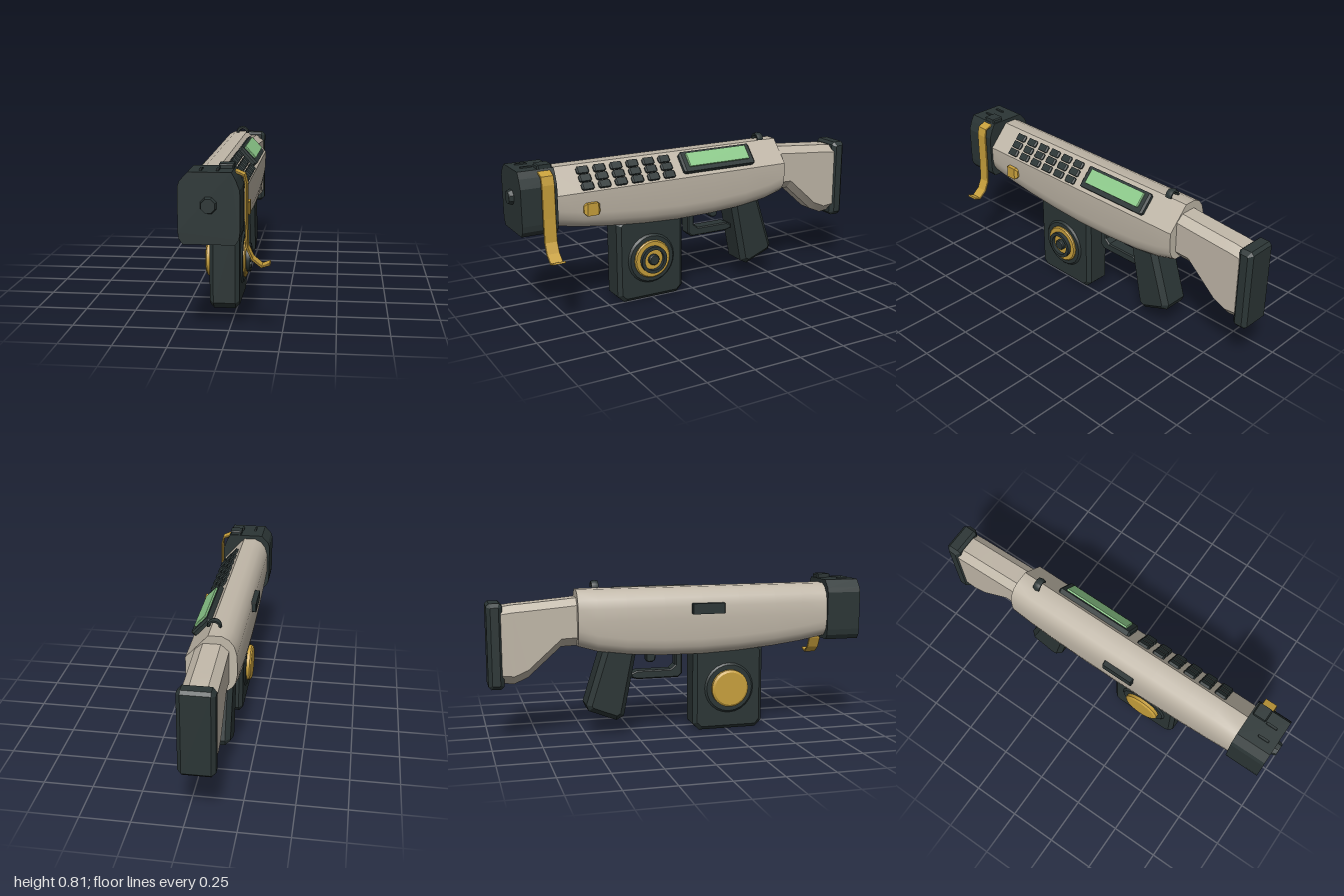
import * as THREE from 'three';
import { toCreasedNormals } from 'three/addons/utils/BufferGeometryUtils.js';

const mat = (name, color) => {
  const m = new THREE.MeshStandardMaterial({ color });
  m.name = name;
  return m;
};

const CX = -0.06; // centre plane of the body

// Outline extruded along z, with a chamfer kept inside the outline
function extrude(pts, depth, b = 0) {
  const shape = new THREE.Shape(pts.map(p => new THREE.Vector2(p[0], p[1])));
  const g = new THREE.ExtrudeGeometry(shape, {
    depth: depth - 2 * b, bevelEnabled: b > 0, bevelSize: b, bevelThickness: b,
    bevelOffset: -b, bevelSegments: 1,
  });
  return g.translate(0, 0, b);
}

// Side outline in (z, y), extruded across x from x0 to x1
const sideExtrude = (pts, x0, x1, b) =>
  extrude(pts, x1 - x0, b).rotateY(-Math.PI / 2).translate(x1, 0, 0);

const chamferBox = (w, h, d, b) =>
  extrude([[-w / 2, -h / 2], [w / 2, -h / 2], [w / 2, h / 2], [-w / 2, h / 2]], d, b).translate(0, 0, -d / 2);

// Rectangle outline with cut corners
const cutRect = (x0, y0, x1, y1, c) => [
  [x0 + c, y0], [x1 - c, y0], [x1, y0 + c], [x1, y1 - c],
  [x1 - c, y1], [x0 + c, y1], [x0, y1 - c], [x0, y0 + c],
];

// Skin over cross-sections (counter-clockwise, z ascending) with end caps
function loft(sections, crease) {
  const pos = [];
  const tri = (...v) => v.forEach(p => pos.push(...p));
  const rings = sections.map(s => s.pts.map(p => [p[0], p[1], s.z]));
  const n = rings[0].length;
  for (let k = 0; k < rings.length - 1; k++) {
    for (let i = 0; i < n; i++) {
      const j = (i + 1) % n, a = rings[k], b = rings[k + 1];
      tri(a[i], a[j], b[j]);
      tri(a[i], b[j], b[i]);
    }
  }
  const first = rings[0], last = rings[rings.length - 1];
  for (let i = 1; i < n - 1; i++) {
    tri(first[0], first[i + 1], first[i]);
    tri(last[0], last[i], last[i + 1]);
  }
  const g = new THREE.BufferGeometry();
  g.setAttribute('position', new THREE.Float32BufferAttribute(pos, 3));
  return toCreasedNormals(g, crease);
}

// Turned part whose axis points along +x
const turned = (pts, seg) => toCreasedNormals(
  new THREE.LatheGeometry(pts.map(p => new THREE.Vector2(p[0], p[1])), seg).rotateZ(-Math.PI / 2), 0.5);

export function createModel() {
  const root = new THREE.Group();
  const tan = mat('tan shell', 0xc0b7a8);
  const dark = mat('dark slate', 0x2b3535);
  const gold = mat('brass', 0xc8a03c);
  const green = mat('screen green', 0x8cc98a);
  const add = (name, geo, material, x = 0, y = 0, z = 0, parent = root) => {
    const m = new THREE.Mesh(geo, material);
    m.name = name;
    m.position.set(x, y, z);
    parent.add(m);
    return m;
  };

  // Main shell: slanted panel on its left, rounded on its right, belly sagging in the middle
  const belly = [[-0.55, 0.49], [-0.45, 0.46], [-0.3, 0.437], [-0.1, 0.425], [0.1, 0.423],
    [0.3, 0.432], [0.5, 0.449], [0.65, 0.468], [0.8, 0.495]];
  add('body', loft(belly.map(([z, y]) => ({
    z,
    pts: [[0.02, y], [0.042, y + 0.018], [0.058, y + 0.045], [0.065, y + 0.085], [0.065, 0.655],
      [-0.045, 0.775], [-0.11, 0.775], [-0.145, 0.758], [-0.17, 0.725], [-0.183, 0.68], [-0.185, 0.62],
      [-0.185, y + 0.085], [-0.178, y + 0.045], [-0.162, y + 0.018], [-0.14, y]],
  })), 0.6), tan);

  // Stock with chamfered edges
  const stock = [[-0.93, 0.7, 0.312], [-0.87, 0.708, 0.305], [-0.8, 0.713, 0.335],
    [-0.63, 0.727, 0.487], [-0.54, 0.735, 0.49]];
  add('stock', loft(stock.map(([z, t, b]) => ({
    z,
    pts: [[-0.02, b], [0.02, b + 0.045], [0.02, t - 0.035], [-0.02, t],
      [-0.105, t], [-0.145, t - 0.035], [-0.145, b + 0.045], [-0.105, b]],
  })), 0.3), tan);
  add('buttPlate', sideExtrude(cutRect(-1, 0.285, -0.92, 0.72, 0.015), -0.15, 0.027, 0.02), dark);

  // Muzzle block with octagonal nozzle
  add('muzzleBlock', extrude([[-0.175, 0.475], [0.055, 0.475], [0.072, 0.5], [0.076, 0.53], [0.076, 0.715],
    [0.058, 0.762], [0.04, 0.795], [-0.15, 0.795], [-0.187, 0.755], [-0.196, 0.73], [-0.196, 0.53],
    [-0.192, 0.5]], 0.185).translate(0, 0, 0.793), dark);
  const nozzle = new THREE.CylinderGeometry(0.033, 0.04, 0.024, 8).rotateY(Math.PI / 8).rotateX(Math.PI / 2);
  add('nozzle', toCreasedNormals(nozzle, 0.3), dark, CX, 0.65, 0.988);
  const rim = new THREE.TorusGeometry(0.03, 0.005, 4, 8).rotateZ(Math.PI / 8);
  add('nozzleRim', rim, dark, CX, 0.65, 0.996);
  for (const x of [-0.1, -0.025]) add('muzzleRib', chamferBox(0.012, 0.012, 0.06, 0.003), dark, x, 0.796, 0.91);

  // Bent brass hook hanging from its clamp
  add('hookClamp', chamferBox(0.065, 0.06, 0.075, 0.006), dark, 0.006, 0.785, 0.838);
  const path = [[0.035, 0.785], [0.083, 0.765], [0.092, 0.725], [0.092, 0.56], [0.096, 0.44],
    [0.12, 0.387], [0.162, 0.353], [0.199, 0.366]];
  const edge = side => path.map((p, i) => {
    const a = path[Math.max(i - 1, 0)], b = path[Math.min(i + 1, path.length - 1)];
    const l = Math.hypot(b[0] - a[0], b[1] - a[1]);
    return [p[0] - side * (b[1] - a[1]) / l, p[1] + side * (b[0] - a[0]) / l];
  });
  add('hook', extrude([...edge(0.005), ...edge(-0.005).reverse()], 0.066, 0.002).translate(0, 0, 0.813), gold);

  // Slanted control panel: local x runs down the slope, local y points out of it
  const panel = new THREE.Group();
  panel.name = 'controlPanel';
  panel.position.set(0.01, 0.715, 0);
  panel.rotation.z = Math.atan2(-0.12, 0.11);
  root.add(panel);
  for (let c = 0; c < 6; c++) {
    for (let r = 0; r < 3; r++) {
      add('key', chamferBox(0.038, 0.026, 0.066, 0.007), dark,
        (r - 1) * 0.046 + 0.006, 0.002, 0.165 + c * 0.0915, panel);
    }
  }
  add('screenFrame', chamferBox(0.118, 0.04, 0.435, 0.01), dark, 0.002, 0.007, -0.138, panel);
  add('screen', chamferBox(0.08, 0.022, 0.37, 0.004), green, -0.004, 0.026, -0.138, panel);

  // Small fittings on the shell
  add('sideButton', chamferBox(0.05, 0.064, 0.086, 0.014), gold, 0.062, 0.569, 0.613);
  add('sideSwitch', chamferBox(0.03, 0.055, 0.175, 0.004), dark, -0.19, 0.668, 0.128);
  const arch = toCreasedNormals(new THREE.TorusGeometry(0.028, 0.009, 6, 12, Math.PI).scale(1, 1, 2.3), 0.6);
  add('rearSight', arch, dark, CX, 0.78, -0.447);

  // Magazine with round drum faces
  add('magazine', sideExtrude(cutRect(0.065, 0.004, 0.45, 0.47, 0.035), -0.135, 0.015, 0.02), dark);
  const drum = new THREE.Group();
  drum.name = 'drum';
  drum.position.set(0, 0.23, 0.26);
  root.add(drum);
  add('drumPlate', turned([[0, -0.143], [0.125, -0.143], [0.135, -0.135], [0.135, 0.015], [0.125, 0.025],
    [0, 0.025]], 24), dark, 0, 0, 0, drum);
  add('drumCap', turned([[0.0, -0.168], [0.088, -0.168], [0.1, -0.16], [0.1, -0.14]], 24), gold, 0, 0, 0, drum);
  add('drumDisc', turned([[0.103, 0.02], [0.103, 0.031], [0.097, 0.037], [0, 0.037]], 24), gold, 0, 0, 0, drum);
  add('drumRing', turned([[0.074, 0.03], [0.074, 0.057], [0.056, 0.057], [0.056, 0.03]], 24), dark, 0, 0, 0, drum);
  add('drumHub', turned([[0.03, 0.03], [0.03, 0.052], [0.025, 0.057], [0, 0.057]], 12), dark, 0, 0, 0, drum);

  // Grip, trigger and guard
  add('grip', sideExtrude([[-0.24, 0.46], [-0.31, 0.11], [-0.35, 0.088], [-0.495, 0.145], [-0.507, 0.175],
    [-0.41, 0.48]], -0.145, 0.025, 0.025), dark);
  add('triggerGuard', sideExtrude([[0.013, 0.44], [0.013, 0.315], [-0.01, 0.293], [-0.23, 0.293],
    [-0.262, 0.303], [-0.262, 0.325], [-0.23, 0.338], [-0.05, 0.338], [-0.025, 0.36], [-0.025, 0.44]],
    CX - 0.035, CX + 0.035, 0.006), dark);
  add('trigger', sideExtrude([[-0.125, 0.44], [-0.13, 0.39], [-0.145, 0.378], [-0.17, 0.378], [-0.18, 0.39],
    [-0.18, 0.44]], CX - 0.02, CX + 0.02, 0.005), dark);

  return root;
}
